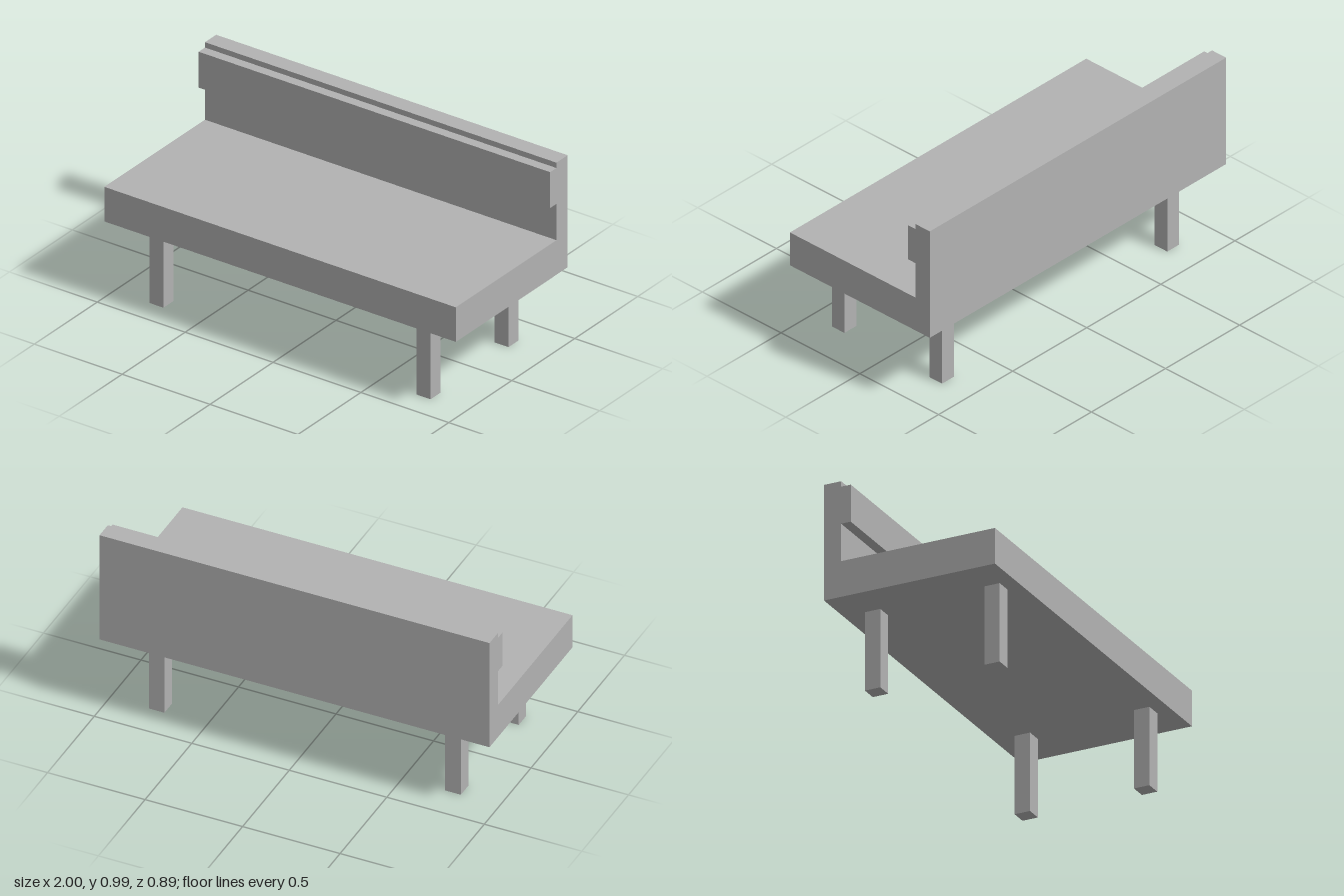
import * as THREE from 'three';

export function createModel() {
  const bench = new THREE.Group();
  bench.name = 'bench';
  const grey = new THREE.MeshStandardMaterial({ color: 0xb2b2b2 });
  grey.name = 'plain grey';

  // Seat, backrest and back cushion share one side profile, as (z, y) points
  const profile = [
    [-0.444, 0.4], [0.444, 0.4], [0.444, 0.582], [-0.355, 0.582],
    [-0.355, 0.773], [-0.305, 0.773], [-0.305, 0.962], [-0.355, 0.962],
    [-0.355, 0.99], [-0.444, 0.99],
  ];
  const length = 2;
  const shape = new THREE.Shape(profile.map(([z, y]) => new THREE.Vector2(-z, y)));
  const bodyGeometry = new THREE.ExtrudeGeometry(shape, { depth: length, bevelEnabled: false });
  // Turn the extrusion so that it runs along x
  bodyGeometry.translate(0, 0, -length / 2).rotateY(Math.PI / 2);
  const body = new THREE.Mesh(bodyGeometry, grey);
  body.name = 'seatAndBackrest';
  bench.add(body);

  // Four square legs
  const legGeometry = new THREE.BoxGeometry(0.08, 0.4, 0.08);
  for (const [end, z] of [['front', 0.326], ['back', -0.294]]) {
    for (const [side, x] of [['Left', 0.76], ['Right', -0.76]]) {
      const leg = new THREE.Mesh(legGeometry, grey);
      leg.name = `${end}${side}Leg`;
      leg.position.set(x, 0.2, z);
      bench.add(leg);
    }
  }
  return bench;
}
